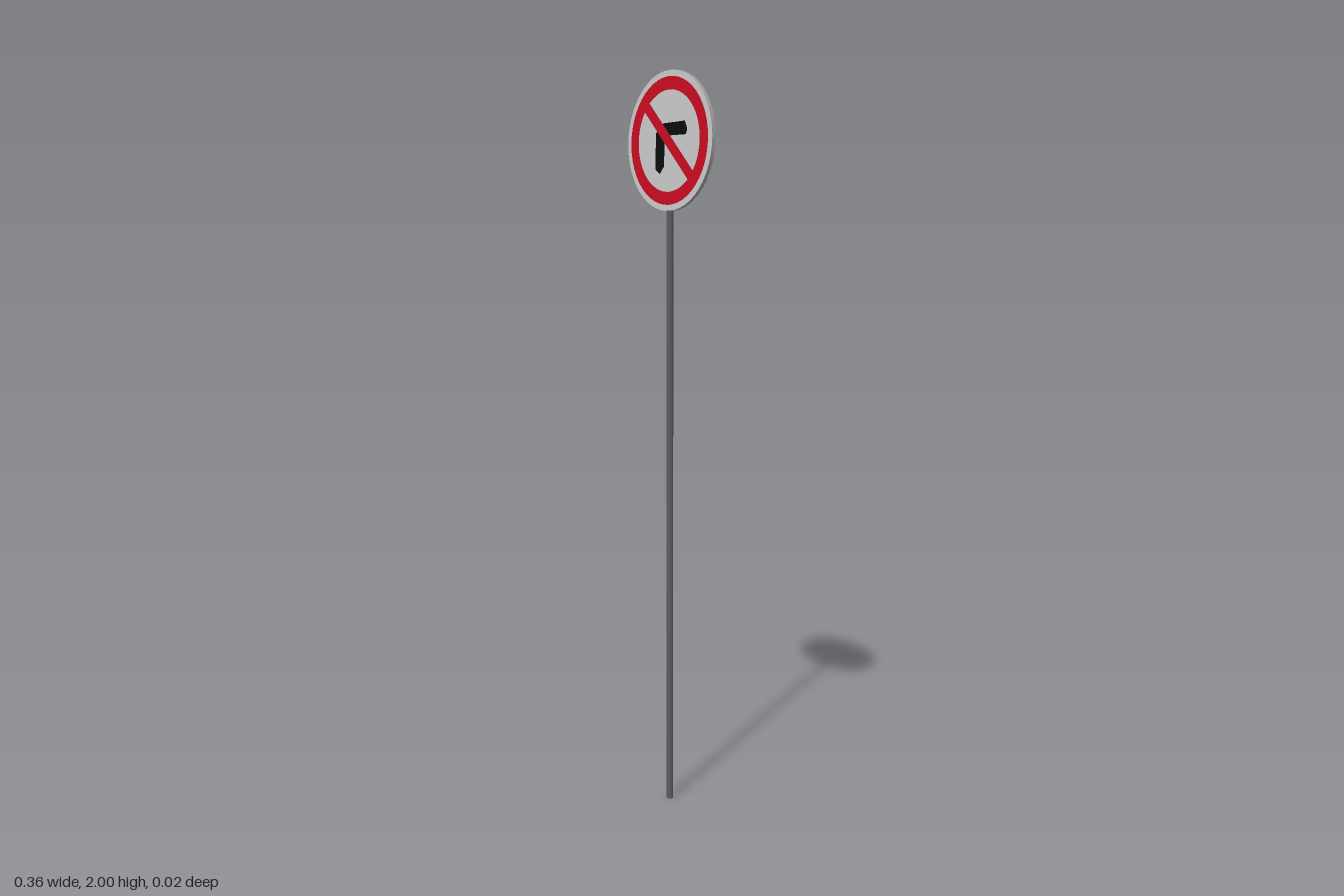
import * as THREE from 'three';

const mat = (name, color) => Object.assign(new THREE.MeshStandardMaterial({ color }), { name });

export function createModel() {
  const darkGrey = mat('pole grey', 0x5c5c5e);
  const rimGrey = mat('rim grey', 0xa2a2a2);
  const white = mat('sign white', 0xcdcdcd);
  const red = mat('sign red', 0xcc0c22);
  const black = mat('arrow black', 0x0c0c0c);

  const root = new THREE.Group();
  root.name = 'roadSign';
  const add = (parent, name, geometry, material, x = 0, y = 0, z = 0) => {
    const mesh = new THREE.Mesh(geometry, material);
    mesh.name = name;
    mesh.position.set(x, y, z);
    parent.add(mesh);
    return mesh;
  };

  // Pole
  const poleHeight = 1.637;
  add(root, 'pole', new THREE.CylinderGeometry(0.0095, 0.0095, poleHeight, 12), darkGrey, 0, poleHeight / 2);

  // Round plate: grey edge with pale faces
  const radius = 0.182, thickness = 0.011;
  const plate = new THREE.Group();
  plate.name = 'signPlate';
  plate.position.set(0, 2 - radius, -0.0015);
  root.add(plate);
  const disc = new THREE.CylinderGeometry(radius, radius, thickness, 48);
  disc.rotateX(Math.PI / 2);
  add(plate, 'disc', disc, [rimGrey, white, white]);

  // Right-turn arrow outline
  const arrow = new THREE.Shape([
    [-0.057, -0.072], [-0.037, -0.084], [-0.019, -0.064], [-0.017, 0.008],
    [0.0, 0.014], [0.074, 0.012], [0.08, 0.026], [0.07, 0.047],
    [-0.022, 0.047], [-0.036, 0.032], [-0.055, 0.024],
  ].map(([x, y]) => new THREE.Vector2(x, y)));
  const arrowGeometry = new THREE.ShapeGeometry(arrow);
  const ringGeometry = new THREE.RingGeometry(0.132, 0.166, 48);
  const barGeometry = new THREE.PlaneGeometry(0.272, 0.03);

  // The same painted face on both sides
  for (const [name, turn] of [['frontFace', 0], ['backFace', Math.PI]]) {
    const face = new THREE.Group();
    face.name = name;
    face.rotation.y = turn;
    plate.add(face);
    add(face, 'turnArrow', arrowGeometry, black, 0, 0, thickness / 2 + 0.0005);
    add(face, 'redRing', ringGeometry, red, 0, 0, thickness / 2 + 0.001);
    add(face, 'redBar', barGeometry, red, 0, 0, thickness / 2 + 0.001).rotation.z = -Math.PI / 4;
  }
  return root;
}
